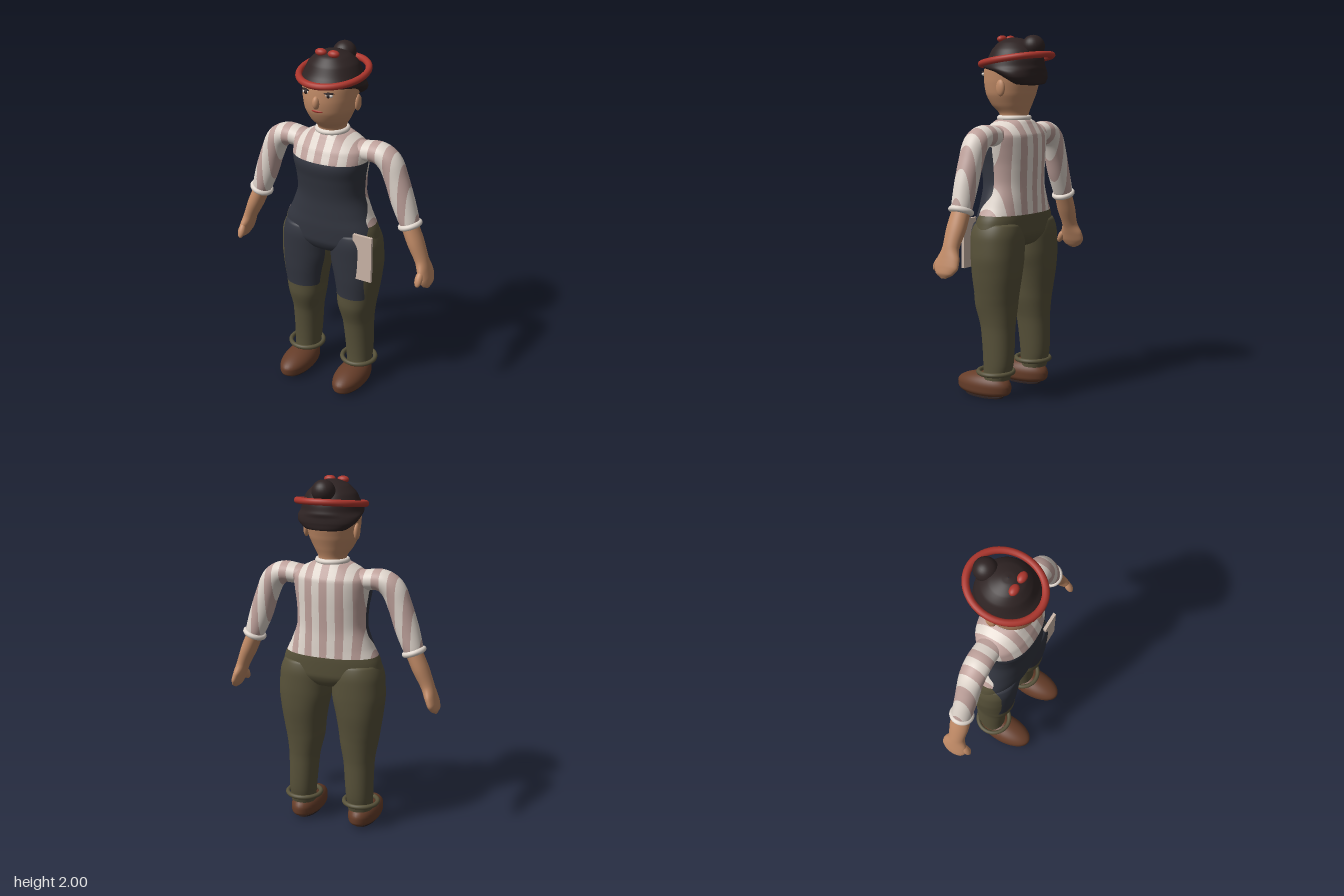
import * as THREE from 'three';

const mat = (name, color) => Object.assign(new THREE.MeshStandardMaterial({ color }), { name });

// Smooth skin over rings [x, y, z, in-plane radius, z radius] along a path in the xy plane
function loft(rings, e = 1, seg = 64, sub = 6) {
  const path = new THREE.CatmullRomCurve3(rings.map(r => new THREE.Vector3(r[0], r[1], r[2])));
  const radii = new THREE.CatmullRomCurve3(rings.map(r => new THREE.Vector3(r[3], r[4], 0)));
  const n = (rings.length - 1) * sub, pos = [], idx = [];
  const pw = v => Math.sign(v) * Math.abs(v) ** e;
  for (let i = 0; i <= n; i++) {
    const p = path.getPoint(i / n), r = radii.getPoint(i / n), t = path.getTangent(i / n);
    const l = Math.hypot(t.x, t.y), nx = t.y / l, ny = -t.x / l;
    for (let j = 0; j < seg; j++) {
      const a = j / seg * Math.PI * 2;
      const u = pw(Math.cos(a)) * Math.max(r.x, 0.001), w = pw(Math.sin(a)) * Math.max(r.y, 0.001);
      pos.push(p.x + nx * u, p.y + ny * u, p.z + w);
      if (i < n) {
        const k = (j + 1) % seg, q = i * seg;
        idx.push(q + j, q + seg + j, q + k, q + k, q + seg + j, q + seg + k);
      }
    }
  }
  const g = new THREE.BufferGeometry();
  g.setAttribute('position', new THREE.Float32BufferAttribute(pos, 3));
  g.setIndex(idx);
  g.computeVertexNormals();
  return g;
}

// Cut a surface where f(x, y, z) = 0; returns [inside, outside]
function split(geo, f) {
  const g = geo.index ? geo.toNonIndexed() : geo;
  const P = g.attributes.position.array, N = g.attributes.normal.array;
  return [1, -1].map(s => {
    const pos = [], nor = [];
    for (let i = 0; i < P.length; i += 9) {
      const tri = [0, 3, 6].map(k => {
        const v = [...P.slice(i + k, i + k + 3), ...N.slice(i + k, i + k + 3)];
        return { v, d: s * f(v[0], v[1], v[2]) };
      });
      const poly = [];
      tri.forEach((a, k) => {
        const b = tri[(k + 1) % 3];
        if (a.d >= 0) poly.push(a.v);
        if ((a.d >= 0) !== (b.d >= 0)) {
          const t = a.d / (a.d - b.d);
          poly.push(a.v.map((c, m) => c + (b.v[m] - c) * t));
        }
      });
      for (let k = 1; k + 1 < poly.length; k++)
        for (const v of [poly[0], poly[k], poly[k + 1]]) {
          pos.push(v[0], v[1], v[2]);
          nor.push(v[3], v[4], v[5]);
        }
    }
    const out = new THREE.BufferGeometry();
    out.setAttribute('position', new THREE.Float32BufferAttribute(pos, 3));
    out.setAttribute('normal', new THREE.Float32BufferAttribute(nor, 3));
    return out;
  });
}

// Where the apron lies, and the vertical shirt stripes
const apronArea = (x, y, z) => {
  const back = 0.04 - 0.06 * THREE.MathUtils.smoothstep(y, 1.05, 1.15);
  return Math.min(1.4 - y, y - 0.59, z - back, 0.257 - Math.abs(x));
};
const stripes = x => Math.cos(x / 0.09 * Math.PI * 2);

export function createModel() {
  const model = new THREE.Group();
  const skin = mat('skin', 0xc08a66), hair = mat('dark hair', 0x2e2323), red = mat('red', 0xab352c);
  const cream = mat('cream', 0xe0d6cd), pink = mat('pink stripe', 0xbfa29c), navy = mat('apron navy', 0x32353f);
  const olive = mat('olive', 0x575139), brown = mat('shoe brown', 0x663d29), tan = mat('towel', 0xccb7a9);

  const add = (name, geo, m, x = 0, y = 0, z = 0) => {
    const mesh = new THREE.Mesh(geo, m);
    mesh.name = name;
    mesh.position.set(x, y, z);
    model.add(mesh);
    return mesh;
  };
  const ball = (name, m, x, y, z, rx, ry, rz) =>
    add(name, new THREE.SphereGeometry(1, 28, 18).scale(rx, ry, rz), m, x, y, z);
  const ring = (name, m, x, y, z, R, tube, sz = 1) =>
    add(name, new THREE.TorusGeometry(R, tube, 14, 56).rotateX(Math.PI / 2).scale(1, 1, sz), m, x, y, z);
  const shirt = (name, geo) => {
    const [a, b] = split(geo, stripes);
    add(name + 'PinkStripes', a, pink);
    add(name + 'CreamStripes', b, cream);
  };

  // Torso: apron over striped shirt and trouser seat
  const torso = loft([
    [0, 0.835, -0.01, 0.02, 0.05], [0, 0.86, -0.01, 0.16, 0.11], [0, 0.92, -0.01, 0.293, 0.143],
    [0, 1.0, -0.01, 0.28, 0.146], [0, 1.08, -0.01, 0.24, 0.143], [0, 1.2, -0.008, 0.2, 0.142],
    [0, 1.3, -0.002, 0.204, 0.152], [0, 1.38, 0.004, 0.217, 0.16], [0, 1.46, -0.008, 0.222, 0.143],
    [0, 1.51, -0.01, 0.165, 0.112], [0, 1.54, -0.01, 0.1, 0.09], [0, 1.55, -0.01, 0.05, 0.05],
  ], 0.9, 80);
  const [bib, rest] = split(torso, apronArea);
  const [top, seat] = split(rest, (x, y) => y - 1.03);
  add('apronBib', bib, navy);
  add('trouserSeat', seat, olive);
  shirt('shirt', top);

  for (const s of [1, -1]) {
    const side = s > 0 ? 'left' : 'right';
    const limb = (rings, e) => loft(rings.map(r => [r[0] * s, ...r.slice(1)]), e);

    // Trouser leg with the apron's lower half
    const leg = limb([
      [0.178, 0.11, -0.02, 0.07, 0.075], [0.175, 0.2, -0.03, 0.076, 0.086], [0.168, 0.4, -0.022, 0.086, 0.098],
      [0.164, 0.52, -0.01, 0.107, 0.12], [0.166, 0.6, -0.013, 0.118, 0.126], [0.166, 0.7, -0.015, 0.134, 0.137],
      [0.161, 0.8, -0.015, 0.149, 0.142], [0.155, 0.9, -0.012, 0.148, 0.144], [0.15, 0.98, -0.01, 0.125, 0.13],
      [0.15, 1.01, -0.01, 0.02, 0.02],
    ], 0.92);
    const [front, trouser] = split(leg, apronArea);
    add(side + 'ApronLeg', front, navy);
    add(side + 'TrouserLeg', trouser, olive);
    ring(side + 'TrouserCuff', olive, s * 0.177, 0.15, -0.013, 0.097, 0.013);

    // Shoe: flattened underneath, lower at the toe
    const shoe = new THREE.SphereGeometry(1, 36, 24);
    const p = shoe.attributes.position;
    for (let i = 0; i < p.count; i++) {
      const y = p.getY(i), z = p.getZ(i);
      const h = y < 0 ? -0.065 * Math.abs(y) ** 0.5 : y * (0.073 - 0.012 * z);
      p.setXYZ(i, p.getX(i) * 0.088, h, z * 0.177);
    }
    shoe.computeVertexNormals();
    add(side + 'Shoe', shoe, brown, s * 0.178, 0.067, 0.067);
    add(side + 'Sole', new THREE.CylinderGeometry(1, 1, 0.008, 40).scale(0.06, 1, 0.125), hair, s * 0.178, 0.004, 0.067);

    // Sleeve, cuff, forearm and hand
    shirt(side + 'Sleeve', limb([
      [0.1, 1.45, -0.01, 0.05, 0.07], [0.2, 1.457, -0.015, 0.055, 0.07], [0.29, 1.46, -0.015, 0.06, 0.072],
      [0.35, 1.42, -0.015, 0.067, 0.07], [0.392, 1.33, -0.015, 0.066, 0.066], [0.43, 1.22, -0.015, 0.067, 0.062],
      [0.473, 1.1, -0.018, 0.056, 0.057], [0.48, 1.08, -0.018, 0.05, 0.05],
    ]));
    ring(side + 'SleeveCuff', cream, s * 0.478, 1.083, -0.018, 0.053, 0.016).rotation.z = s * 0.36;
    add(side + 'ForearmAndHand', limb([
      [0.468, 1.1, -0.018, 0.045, 0.052], [0.512, 1.0, -0.015, 0.045, 0.056], [0.556, 0.9, -0.012, 0.037, 0.048],
      [0.578, 0.84, -0.012, 0.032, 0.07], [0.592, 0.8, -0.01, 0.029, 0.075], [0.605, 0.765, -0.006, 0.022, 0.055],
      [0.611, 0.743, -0.004, 0.003, 0.015],
    ]), skin);
    const thumb = ball(side + 'Thumb', skin, s * 0.578, 0.81, 0.06, 0.022, 0.045, 0.02);
    thumb.rotation.x = -0.5;

    // Ear, eye and hat berry
    ball(side + 'Ear', skin, s * 0.146, 1.715, -0.025, 0.016, 0.045, 0.028);
    ball(side + 'EyeWhite', cream, s * 0.068, 1.788, 0.143, 0.022, 0.012, 0.013);
    ball(side + 'Iris', hair, s * 0.068, 1.788, 0.152, 0.01, 0.011, 0.007);
    ball(side + 'Eyelid', hair, s * 0.07, 1.8, 0.147, 0.028, 0.005, 0.011).rotation.y = s * 0.4;
    ball(side + 'Berry', red, s * 0.038, 1.978, 0.045, 0.033, 0.02, 0.024);
  }

  // Head and neck
  add('head', loft([
    [0, 1.5, -0.005, 0.075, 0.078], [0, 1.57, -0.008, 0.078, 0.082], [0, 1.62, 0.007, 0.108, 0.113],
    [0, 1.68, 0.012, 0.136, 0.14], [0, 1.75, 0.008, 0.148, 0.155], [0, 1.82, 0.003, 0.152, 0.156],
    [0, 1.88, -0.01, 0.13, 0.13], [0, 1.92, -0.01, 0.05, 0.05],
  ]), skin);
  ball('nose', skin, 0, 1.742, 0.16, 0.02, 0.036, 0.024);
  ball('lips', red, 0, 1.693, 0.147, 0.036, 0.009, 0.012);
  ring('collar', cream, 0, 1.55, -0.01, 0.081, 0.015);

  // Hair, bun and headband
  add('hair', loft([
    [0, 1.726, -0.12, 0.02, 0.01], [0, 1.735, -0.115, 0.11, 0.058], [0, 1.77, -0.09, 0.16, 0.09],
    [0, 1.8, -0.055, 0.175, 0.125], [0, 1.828, -0.01, 0.17, 0.172], [0, 1.87, -0.02, 0.157, 0.155],
    [0, 1.92, -0.02, 0.133, 0.13], [0, 1.96, -0.015, 0.09, 0.09], [0, 1.983, -0.01, 0.035, 0.035],
    [0, 1.987, -0.01, 0.002, 0.002],
  ]), hair);
  ball('hairBun', hair, 0, 1.938, -0.137, 0.063, 0.061, 0.063);
  ring('headband', red, 0, 1.866, -0.024, 0.18, 0.018, 1.12).rotation.x = 0.14;

  // Towel hanging at the left hip
  add('towel', new THREE.BoxGeometry(0.115, 0.27, 0.018), tan, 0.257, 0.875, 0.106);

  return model;
}
